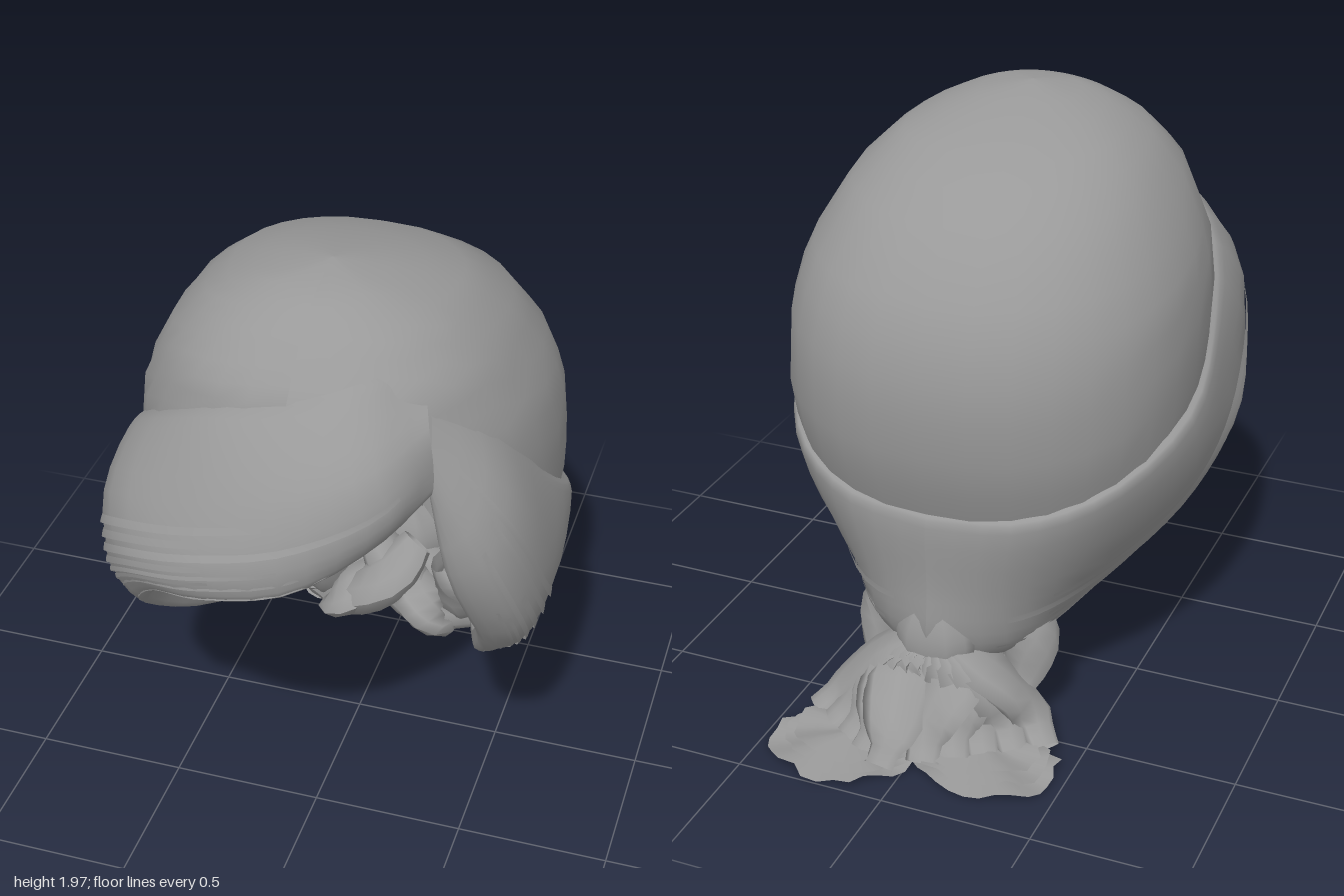
import * as THREE from 'three';

const hairMat = new THREE.MeshStandardMaterial({ color: 0x999999, side: THREE.DoubleSide });
hairMat.name = 'grey hair';

const V = (x, y, z) => new THREE.Vector3(x, y, z);
const curve = (pts) => new THREE.CatmullRomCurve3(pts.map((p) => (p.isVector3 ? p : V(...p))));

let seed = 7;
const rand = () => (seed = (seed * 16807) % 2147483647) / 2147483647;

// Smooth surface from a point function on a nu x nv grid
function grid(name, nu, nv, fn) {
  const pos = [], idx = [];
  for (let i = 0; i <= nu; i++) for (let j = 0; j <= nv; j++) {
    pos.push(...fn(i / nu, j / nv).toArray());
    if (i < nu && j < nv) {
      const a = i * (nv + 1) + j, b = a + nv + 1;
      idx.push(a, a + 1, b, b, a + 1, b + 1);
    }
  }
  const g = new THREE.BufferGeometry();
  g.setAttribute('position', new THREE.Float32BufferAttribute(pos, 3));
  g.setIndex(idx);
  g.computeVertexNormals();
  const m = new THREE.Mesh(g, hairMat);
  m.name = name;
  return m;
}

// Point function skinned across a list of rails
function skin(rails) {
  const curves = rails.map(curve);
  return (u, v) => curve(curves.map((c) => c.getPoint(u))).getPoint(v);
}

// Linear lookup in rows sorted by their first value
function lookup(rows, k) {
  let i = 0;
  while (i < rows.length - 2 && k > rows[i + 1][0]) i++;
  const [a, b] = [rows[i], rows[i + 1]];
  const t = THREE.MathUtils.clamp((k - a[0]) / (b[0] - a[0]), 0, 1);
  return a.map((n, q) => n + (b[q] - n) * t);
}

// Crown: horizontal sections as [height, half width, front z, back z]
const sections = [
  [0.75, 0.59, 0.55, -0.59], [0.92, 0.64, 0.6, -0.655], [1.1, 0.665, 0.66, -0.69], [1.34, 0.66, 0.73, -0.68],
  [1.52, 0.625, 0.745, -0.6], [1.73, 0.51, 0.71, -0.42], [1.86, 0.38, 0.58, -0.19], [1.93, 0.22, 0.47, 0.04],
  [1.955, 0.13, 0.4, 0.14], [1.97, 0, 0.26, 0.26],
];
// Crown hem height by facing direction (back to front)
const hem = [[-1, 0.78], [-0.6, 0.84], [-0.15, 0.96], [0.3, 1.15], [0.5, 1.31], [0.7, 1.44], [1, 1.54]];

function crownPoint(u, v) {
  const a = u * Math.PI * 2, c = Math.cos(a), s = Math.sin(a);
  // Hem dips on the side the fringe sweeps towards
  const low = lookup(hem, c)[1] - 0.12 * Math.max(0, -s) * Math.max(0, c);
  const y = low + (1.97 - low) * Math.cos((v * Math.PI) / 2);
  const [, w, f, b] = lookup(sections, y);
  const p = (n) => Math.sign(n) * Math.abs(n) ** 0.88;
  return V(p(s) * w, y, (f + b) / 2 + (p(c) * (f - b)) / 2);
}

// Side locks: rails from the crown edge to the lower edge, running from the parting to the nape
const leftRails = [
  [[.36, 1.75, .5], [.55, 1.53, .37], [.67, 1.25, .18], [.69, 1.04, -.1], [.54, .9, -.43], [.3, .82, -.59], [0, .8, -.635]],
  [[.4, 1.65, .59], [.63, 1.38, .5], [.715, 1.02, .28], [.68, .8, 0], [.48, .62, -.35], [.25, .56, -.56], [0, .55, -.63]],
  [[.41, 1.55, .64], [.59, 1.2, .63], [.665, .85, .46], [.58, .6, .17], [.4, .42, -.2], [.25, .36, -.5], [0, .37, -.64]],
  [[.41, 1.46, .64], [.48, 1.15, .64], [.545, .82, .48], [.48, .58, .26], [.36, .37, -.14], [.22, .29, -.46], [0, .27, -.59]],
];
const rightRails = [
  [[.35, 1.76, .5], [.22, 1.76, .67], [0, 1.7, .755], [-.28, 1.62, .71], [-.55, 1.45, .53], [-.675, 1.22, .18],
    [-.69, 1.04, -.1], [-.54, .9, -.43], [-.3, .82, -.59], [0, .8, -.635]],
  [[.4, 1.66, .62], [.28, 1.6, .82], [.05, 1.53, .91], [-.26, 1.43, .88], [-.59, 1.28, .7], [-.7, 1, .3],
    [-.68, .8, 0], [-.48, .62, -.35], [-.25, .56, -.56], [0, .55, -.63]],
  [[.42, 1.55, .64], [.33, 1.46, .83], [.08, 1.35, .97], [-.22, 1.26, .97], [-.5, 1.12, .82], [-.67, .85, .5],
    [-.58, .6, .2], [-.4, .42, -.2], [-.25, .36, -.5], [0, .37, -.64]],
  [[.42, 1.46, .64], [.3, 1.36, .8], [.08, 1.24, .95], [-.18, 1.16, .95], [-.38, 1.06, .83], [-.53, .8, .6],
    [-.48, .58, .32], [-.36, .37, -.12], [-.22, .29, -.46], [0, .27, -.59]],
];

function sideLock(name, rails, nu) {
  const group = new THREE.Group();
  group.name = name;
  // Upper edge tucked into the crown, lower edge turned under
  const tucked = rails[0].map(([x, y, z]) => {
    const k = z > 0.3 ? 0.93 : 0.965;
    return [x * k, y + 0.03, z * k];
  });
  const inner = rails[3].map(([x, y, z]) => [x * 0.93, y + 0.035, z > -0.4 ? z - 0.05 : z + 0.02]);
  group.add(grid(name + 'Surface', nu, 18, skin([tucked, ...rails, inner])));
  // Thin overlapping strands lying on the lower half
  const at = skin(rails);
  for (let k = 0; k < 9; k++) {
    const v0 = 0.42 + k * 0.065, u0 = 0.04 + rand() * 0.3, u1 = 0.75 + rand() * 0.18;
    group.add(grid(name + 'Strand', nu, 2, (u, v) => {
      const p = at(u0 + (u1 - u0) * u, Math.min(1, v0 + v * 0.035));
      const out = V(p.x, (p.y - 1) * 0.4, p.z).normalize();
      return p.addScaledVector(out, 0.002 + 0.008 * Math.sin(u * Math.PI) * v);
    }));
  }
  return group;
}

// Tapering flattened lock along a path
function curl(path, width, depth) {
  const c = curve(path);
  return grid('curl', 10, 8, (u, v) => {
    const p = c.getPoint(u), t = c.getTangent(u), a = v * Math.PI * 2;
    const side = V(t.z, 0, -t.x).normalize();
    const up = V(0, 0, 0).crossVectors(t, side).normalize();
    const r = 0.45 + 0.55 * Math.sin(Math.min(1, u * 1.1 + 0.1) * Math.PI);
    p.addScaledVector(side, Math.cos(a) * width * r).addScaledVector(up, Math.sin(a) * depth * r);
    p.y = Math.max(p.y, 0.012);
    return p;
  });
}

// Ragged flat layer of hair ends
function raggedLayer(x, y, z, rx, rz) {
  const edge = Array.from({ length: 28 }, () => 0.86 + rand() * 0.14);
  return grid('raggedEnds', 28, 3, (u, v) => {
    const a = u * Math.PI * 2, r = v * edge[Math.round(u * 28) % 28];
    return V(x + Math.cos(a) * rx * r, y + 0.012 * Math.sin(a * 5) * v - 0.01 * v, z + Math.sin(a) * rz * r);
  });
}

function tuft(s) {
  const group = new THREE.Group();
  group.name = s > 0 ? 'leftTuft' : 'rightTuft';
  const back = s > 0 ? -0.07 : 0;
  // Locks fanning from the tie to the ground
  for (let k = 0; k < 5; k++) {
    const t = k / 4, x = s * (0.39 - 0.33 * t), z = -0.6 - 0.22 * t + back;
    group.add(curl([[s * 0.03, 0.34, -0.55], [s * (0.18 - 0.1 * t), 0.24, -0.55 - 0.08 * t],
      [x * 0.8, 0.11, z + 0.07], [x, 0.04, z]], 0.12, 0.05));
  }
  // Fat curls rolled forward under the nape, crossing in the middle
  group.add(curl([[s * 0.2, 0.43, -0.36], [s * 0.25, 0.34, -0.38], [s * 0.26, 0.2, -0.42], [s * 0.24, 0.08, -0.5]], 0.1, 0.08));
  group.add(curl([[-s * 0.08, 0.42, -0.45], [s * 0.02, 0.29, -0.38 - s * 0.03], [s * 0.17, 0.17, -0.38], [s * 0.33, 0.07, -0.54]], 0.11, 0.085));
  group.add(curl([[s * 0.06, 0.28, -0.45], [s * 0.13, 0.24, -0.34], [s * 0.19, 0.16, -0.33], [s * 0.2, 0.07, -0.5]], 0.1, 0.06));
  // Spread ends
  for (let k = 0; k < 3; k++)
    group.add(raggedLayer(s * (0.23 - k * 0.02), 0.022 + k * 0.018, -0.7 + back * 1.35 + k * 0.02, 0.255 - k * 0.015, 0.205 - k * 0.015));
  return group;
}

export function createModel() {
  const model = new THREE.Group();
  model.name = 'tiedHair';
  model.add(grid('crown', 32, 14, crownPoint));
  model.add(sideLock('leftLock', leftRails, 20));
  model.add(sideLock('sweptFringe', rightRails, 30));
  // Gathered hair at the nape
  model.add(grid('napeGather', 18, 8, (u, v) => {
    const a = u * Math.PI * 2, r = 0.06 + 0.07 * Math.sin(v * Math.PI * 0.8) + 0.008 * Math.cos(a * 6);
    return V(Math.cos(a) * r, 0.5 - 0.25 * v, -0.57 + Math.sin(a) * r * 0.6);
  }));
  for (const s of [-1, 1]) model.add(tuft(s));
  return model;
}
